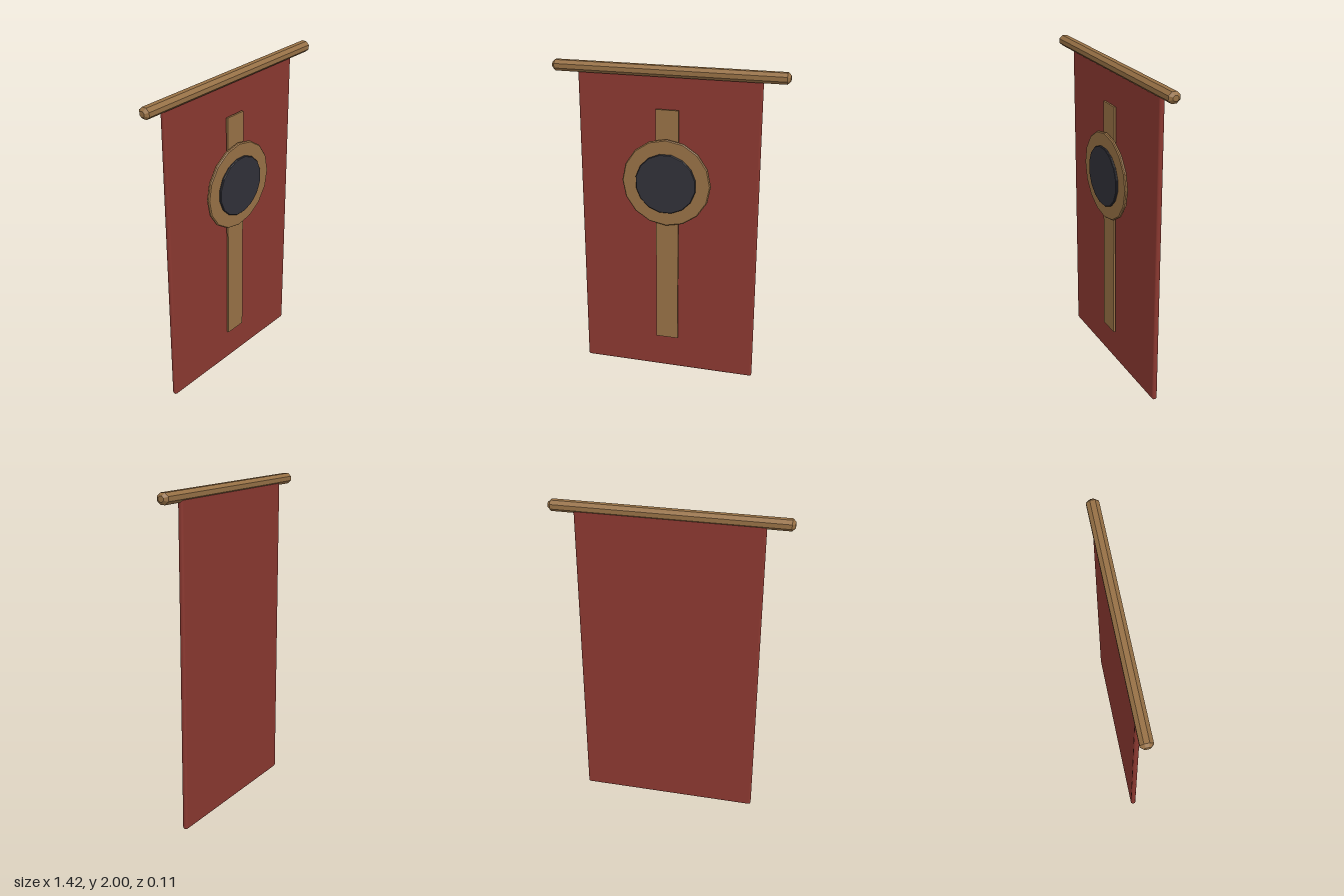
import * as THREE from 'three';
import { RoundedBoxGeometry } from 'three/addons/geometries/RoundedBoxGeometry.js';

const material = (name, color) => {
  const m = new THREE.MeshStandardMaterial({ color });
  m.name = name;
  return m;
};

// Faceted solid of revolution along y with chamfered rims
function chamferedPrism(radius, length, chamfer, sides, phase = 0) {
  const h = length / 2;
  const profile = [
    [0, -h], [radius - chamfer, -h], [radius, -h + chamfer],
    [radius, h - chamfer], [radius - chamfer, h], [0, h],
  ].map(([x, y]) => new THREE.Vector2(x, y));
  const geometry = new THREE.LatheGeometry(profile, sides, phase).toNonIndexed();
  geometry.computeVertexNormals();
  return geometry;
}

export function createModel() {
  const red = material('red cloth', 0x8a3830);
  const brown = material('golden brown', 0x967045);
  const dark = material('dark slate', 0x303038);

  const banner = new THREE.Group();
  banner.name = 'banner';
  const add = (name, geometry, mat, x, y, z) => {
    const mesh = new THREE.Mesh(geometry, mat);
    mesh.name = name;
    mesh.position.set(x, y, z);
    banner.add(mesh);
    return mesh;
  };

  // Hanging cloth, tucked into the rod at the top
  add('cloth', new RoundedBoxGeometry(1.11, 1.96, 0.032, 2, 0.014), red, 0, 0.98, -0.032);

  // Eight-sided rod with chamfered ends
  const rod = chamferedPrism(0.0352, 1.42, 0.018, 8, Math.PI / 8);
  rod.rotateZ(-Math.PI / 2).scale(1, 1, 1.1);
  rod.computeVertexNormals();
  add('rod', rod, brown, 0, 1.9675, -0.0195);

  // Vertical stripe in front of the cloth
  add('stripe', new THREE.BoxGeometry(0.14, 1.515, 0.012), brown, 0, 0.987, 0.005);

  // Round emblem: rim disc and inner disc
  add('emblemRim', chamferedPrism(0.274, 0.021, 0.006, 16).rotateX(Math.PI / 2),
    brown, 0, 1.298, 0.0295);
  add('emblemCentre', chamferedPrism(0.188, 0.015, 0.004, 16, Math.PI / 16).rotateX(Math.PI / 2),
    dark, 0, 1.298, 0.0475);

  return banner;
}
